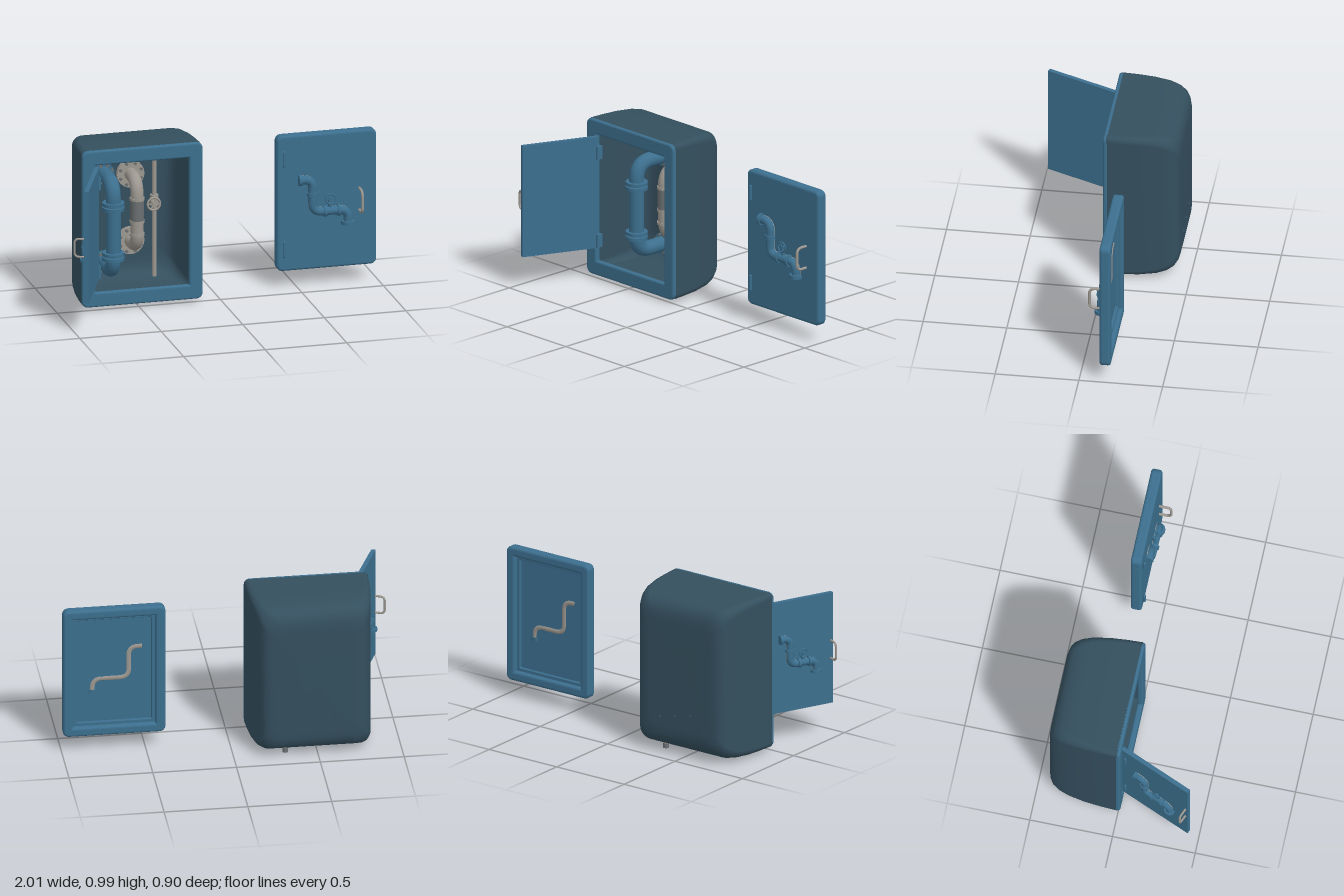
import * as THREE from 'three';

const mat = (name, color, side = THREE.FrontSide) => {
  const m = new THREE.MeshStandardMaterial({ color, side });
  m.name = name;
  return m;
};
const V = (x, y, z) => new THREE.Vector3(x, y, z);

export function createModel() {
  const root = new THREE.Group();
  root.name = 'pipeCabinet';
  const blue = mat('paintedBlue', 0x3c6f8e);
  const slate = mat('darkSlate', 0x344f5e);
  const steel = mat('paleSteel', 0x9c9790);
  const iron = mat('darkSteel', 0x6c7072);

  const add = (parent, name, geo, material, x = 0, y = 0, z = 0) => {
    const m = new THREE.Mesh(geo, material);
    m.name = name;
    m.position.set(x, y, z);
    parent.add(m);
    return m;
  };
  const group = (parent, name, x = 0, y = 0, z = 0) => {
    const g = new THREE.Group();
    g.name = name;
    g.position.set(x, y, z);
    parent.add(g);
    return g;
  };

  // Tube through points, each inner corner rounded by radius b
  const pipe = (parent, name, pts, r, b, material) => {
    const path = new THREE.CurvePath();
    let from = pts[0];
    for (let i = 1; i < pts.length - 1; i++) {
      const p = pts[i];
      const a = p.clone().add(pts[i - 1].clone().sub(p).setLength(b));
      const c = p.clone().add(pts[i + 1].clone().sub(p).setLength(b));
      path.add(new THREE.LineCurve3(from, a));
      path.add(new THREE.QuadraticBezierCurve3(a, p, c));
      from = c;
    }
    path.add(new THREE.LineCurve3(from, pts[pts.length - 1]));
    return add(parent, name, new THREE.TubeGeometry(path, 60, r, 16), material);
  };
  // Round collar or flange along a direction
  const collar = (parent, name, at, dir, r, len, material) => {
    const m = add(parent, name, new THREE.CylinderGeometry(r, r, len, 24), material, at.x, at.y, at.z);
    m.quaternion.setFromUnitVectors(V(0, 1, 0), dir);
    return m;
  };
  const boltRing = (parent, at, R, n) => {
    for (let i = 0; i < n; i++) {
      const a = (i + 0.5) / n * Math.PI * 2;
      collar(parent, 'flangeBolt', V(at.x + R * Math.cos(a), at.y + R * Math.sin(a), at.z), V(0, 0, 1), 0.009, 0.03, iron);
    }
  };
  const handwheel = (parent, r, material, x, y, z) => {
    const g = group(parent, 'handwheel', x, y, z);
    add(g, 'wheelRim', new THREE.TorusGeometry(r, r * 0.18, 10, 28), material);
    for (let i = 0; i < 3; i++)
      add(g, 'wheelSpoke', new THREE.BoxGeometry(r * 2, r * 0.2, r * 0.2), material).rotation.z = i * Math.PI / 3;
    collar(g, 'wheelHub', V(0, 0, -r * 0.2), V(0, 0, 1), r * 0.32, r * 0.9, material);
  };

  const roundRect = (hw, hh, r, seg = 7) => {
    const pts = [];
    [[1, 1], [-1, 1], [-1, -1], [1, -1]].forEach(([sx, sy], k) => {
      for (let i = 0; i <= seg; i++) {
        const a = (k + i / seg) * Math.PI / 2;
        pts.push(new THREE.Vector2(sx * (hw - r) + r * Math.cos(a), sy * (hh - r) + r * Math.sin(a)));
      }
    });
    return pts;
  };
  // Plate ring with rounded edges, outer size given after bevelling
  const frameGeo = (hw, hh, r, ihw, ihh, depth, bevel) => {
    const s = new THREE.Shape(roundRect(hw - bevel, hh - bevel, r));
    s.holes.push(new THREE.Path(roundRect(ihw + bevel, ihh + bevel, 0.012).reverse()));
    const g = new THREE.ExtrudeGeometry(s, { depth: depth - 2 * bevel, bevelThickness: bevel, bevelSize: bevel, bevelSegments: 4 });
    return g.translate(0, 0, -depth + bevel);
  };

  // Cabinet shell from rounded sections: z, half width, half height, corner radius
  const sections = [
    [0, 0.37, 0.485, 0.03], [-0.1, 0.367, 0.485, 0.035], [-0.2, 0.36, 0.484, 0.04], [-0.3, 0.346, 0.479, 0.05],
    [-0.36, 0.332, 0.467, 0.06], [-0.4, 0.315, 0.447, 0.07], [-0.422, 0.292, 0.418, 0.07], [-0.433, 0.262, 0.38, 0.06],
    [-0.436, 0.22, 0.33, 0.05],
  ];
  const shellGeo = (inset, flip) => {
    const pos = [], idx = [];
    let n = 0;
    for (const [z, hw, hh, r] of sections) {
      const ring = roundRect(hw - inset, hh - inset, r);
      n = ring.length;
      for (const p of ring) pos.push(p.x, p.y, Math.min(z + inset, -0.006 * (z === 0)));
    }
    const tri = (a, b, c) => (flip ? idx.push(a, b, c) : idx.push(a, c, b));
    for (let i = 0; i < sections.length - 1; i++)
      for (let j = 0; j < n; j++) {
        const a = i * n + j, b = i * n + (j + 1) % n;
        tri(a, b, a + n);
        tri(b, b + n, a + n);
      }
    const last = (sections.length - 1) * n;
    pos.push(0, 0, -0.437 + inset);
    for (let j = 0; j < n; j++) tri(last + j, last + (j + 1) % n, last + n);
    const g = new THREE.BufferGeometry();
    g.setAttribute('position', new THREE.Float32BufferAttribute(pos, 3));
    g.setIndex(idx);
    g.computeVertexNormals();
    return g;
  };
  const cabinet = group(root, 'cabinet', -0.48, 0.505, 0);
  add(cabinet, 'outerShell', shellGeo(0, false), slate);
  add(cabinet, 'innerLining', shellGeo(0.03, true), slate);
  add(cabinet, 'frontFrame', frameGeo(0.37, 0.485, 0.025, 0.288, 0.395, 0.035, 0.012), blue, 0, 0, 0.012);
  [[-0.08, -0.23], [0.03, -0.255], [0.14, -0.28]].forEach(([x, y]) =>
    collar(cabinet, 'rearBolt', V(x, y, -0.437), V(0, 0, 1), 0.009, 0.016, slate));

  // Pipework inside the cabinet
  const works = group(root, 'pipework');
  const loop = (name, x, yTop, yLow, r, z, fr, material) => {
    const g = group(works, name);
    pipe(g, name + 'Tube', [V(x, yTop, -0.41), V(x, yTop, z), V(x, yLow, z), V(x, yLow, -0.41)], r, 0.1, material);
    for (const y of [yTop, yLow]) {
      collar(g, 'wallFlange', V(x, y, -0.395), V(0, 0, 1), fr, 0.03, material);
      boltRing(g, V(x, y, -0.385), fr * 0.82, 8);
    }
    return g;
  };
  const big = loop('bluePipe', -0.61, 0.715, 0.165, 0.045, -0.17, 0.066, blue);
  for (const y of [0.58, 0.27])
    for (const d of [-0.014, 0.014]) collar(big, 'pipeCollar', V(-0.61, y + d, -0.17), V(0, 1, 0), 0.066, 0.02, blue);
  const mid = loop('steelPipe', -0.445, 0.7, 0.285, 0.039, -0.24, 0.084, steel);
  collar(mid, 'darkSleeve', V(-0.445, 0.52, -0.24), V(0, 1, 0), 0.041, 0.14, iron);
  for (const y of [0.59, 0.45, 0.37]) collar(mid, 'pipeCollar', V(-0.445, y, -0.24), V(0, 1, 0), 0.045, 0.016, steel);

  collar(works, 'thinPipe', V(-0.312, 0.41, -0.34), V(0, 1, 0), 0.014, 0.78, steel);
  collar(works, 'drainNozzle', V(-0.312, 0.015, -0.34), V(0, 1, 0), 0.017, 0.03, iron);
  collar(works, 'valveBody', V(-0.312, 0.54, -0.34), V(0, 1, 0), 0.024, 0.07, steel);
  collar(works, 'valveStem', V(-0.33, 0.54, -0.3), V(0, 0, 1), 0.011, 0.07, steel);
  handwheel(works, 0.038, steel, -0.335, 0.54, -0.265);

  // Outer fittings of a door; origin at the hinge edge, front face at z = 0
  const fittings = (parent, handleX) => {
    const g = group(parent, 'doorFittings');
    for (const y of [0.14, 0.7]) add(g, 'hinge', new THREE.CapsuleGeometry(0.009, 0.085, 4, 12), blue, 0.042, y, 0.01);
    const e = group(g, 'pipeRelief', 0, 0, 0.012);
    const path = [V(0.135, 0.562, 0), V(0.215, 0.562, 0), V(0.215, 0.36, 0), V(0.432, 0.36, 0), V(0.432, 0.275, 0)];
    pipe(e, 'reliefPipe', path, 0.026, 0.055, blue);
    pipe(e, 'reliefBacking', path, 0.025, 0.055, steel).position.z = -0.012;
    const X = V(1, 0, 0), Y = V(0, 1, 0);
    collar(e, 'reliefFlange', V(0.138, 0.562, 0), X, 0.034, 0.018, blue);
    collar(e, 'reliefCollar', V(0.215, 0.47, 0), Y, 0.034, 0.022, blue);
    collar(e, 'reliefCollar', V(0.29, 0.36, 0), X, 0.034, 0.018, blue);
    collar(e, 'reliefCollar', V(0.375, 0.36, 0), X, 0.036, 0.018, blue);
    collar(e, 'reliefFlange', V(0.432, 0.278, 0), Y, 0.04, 0.022, blue);
    collar(e, 'reliefStem', V(0.323, 0.4, 0), Y, 0.012, 0.06, blue);
    handwheel(e, 0.03, blue, 0.323, 0.435, 0.012);
    pipe(g, 'doorHandle', [V(handleX, 0.345, -0.01), V(handleX, 0.345, 0.073), V(handleX, 0.48, 0.073), V(handleX, 0.48, -0.01)], 0.008, 0.035, steel);
    return g;
  };

  // Loose door, hollow behind
  const loose = group(root, 'looseDoor', 0.38, 0.1, -0.12);
  add(loose, 'doorFrame', frameGeo(0.306, 0.42, 0.02, 0.245, 0.36, 0.066, 0.016), blue, 0.306, 0.42, 0);
  add(loose, 'doorPanel', new THREE.BoxGeometry(0.57, 0.79, 0.02), blue, 0.306, 0.42, -0.0102);
  add(loose, 'innerLip', frameGeo(0.255, 0.37, 0.01, 0.225, 0.34, 0.02, 0.004), blue, 0.306, 0.42, -0.018);
  fittings(loose, 0.505);

  // Open door, swung out on its hinges
  const open = group(root, 'openDoor', -0.772, 0.197, 0.004);
  open.rotation.y = -1.969;
  add(open, 'doorPlate', new THREE.BoxGeometry(0.478, 0.694, 0.026), blue, 0.239, 0.347, -0.013);
  fittings(open, 0.565).scale.setScalar(0.82);
  for (const y of [0.24, 0.79]) add(root, 'hingeBlock', new THREE.BoxGeometry(0.035, 0.08, 0.04), blue, -0.758, y, 0.005);

  return root;
}
